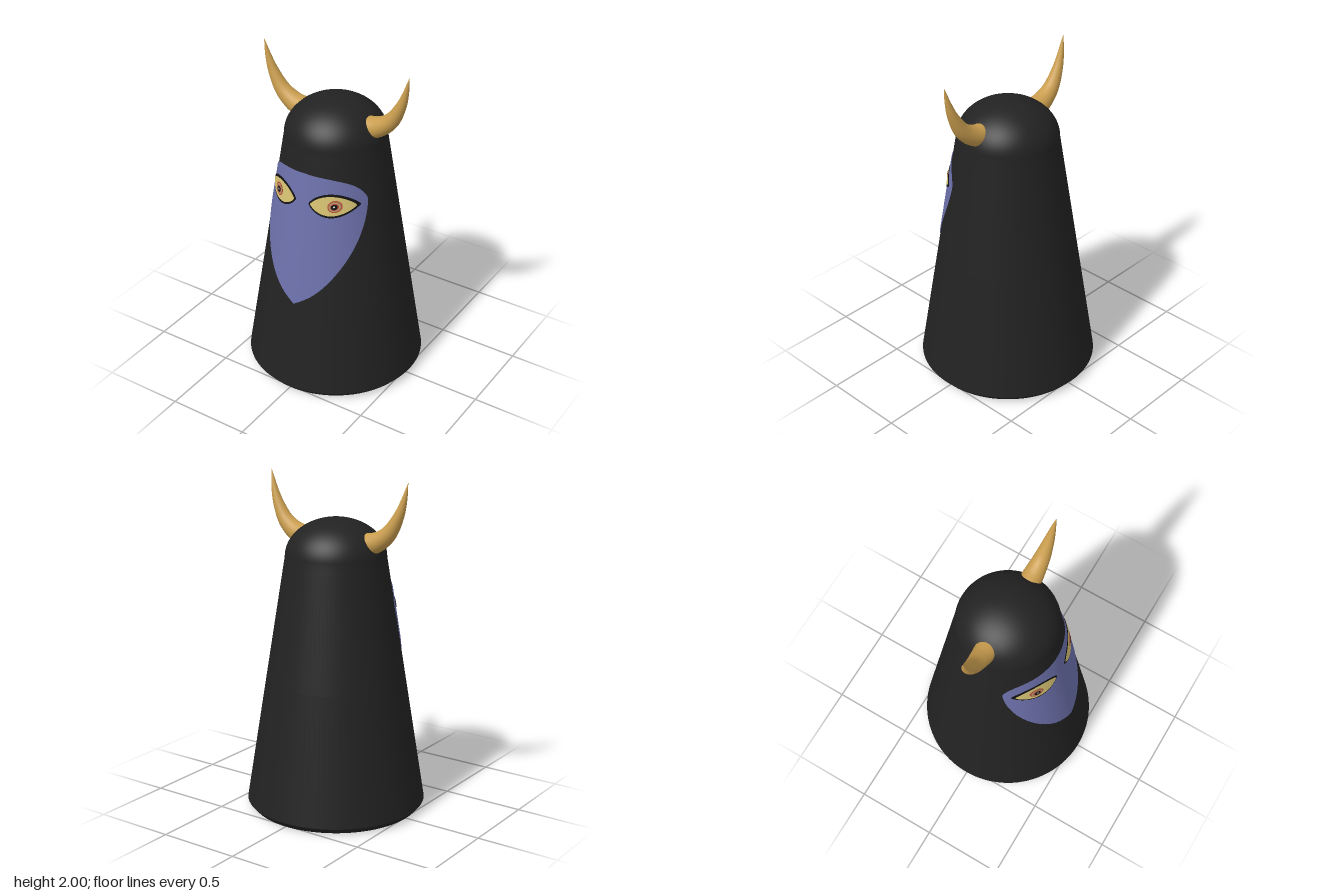
import * as THREE from 'three';
import { mergeVertices } from 'three/addons/utils/BufferGeometryUtils.js';

const mat = (name, color, side = THREE.FrontSide) => {
  const m = new THREE.MeshStandardMaterial({ color, side });
  m.name = name;
  return m;
};

// Radius of the conical robe at height y
const robeRadius = (y) => 0.54 - 0.24 * (y - 0.035) / 1.495;

// Patch wrapped on the robe: rings from a centre out to an outline, lifted off the surface
function wrappedPatch(outline, cx, cy, lift, rings) {
  const pos = [], nor = [], idx = [], n = outline.length;
  const put = (x, y, d) => {
    const r = robeRadius(y) + d, z = Math.sqrt(r * r - x * x);
    pos.push(x, y, z);
    const v = new THREE.Vector3(x / r, 0.16, z / r).normalize();
    nor.push(v.x, v.y, v.z);
  };
  for (let k = 0; k <= rings + 1; k++) {
    const s = Math.min(k / rings, 1);
    // the last ring folds back towards the robe as a thin rim
    const d = k > rings ? lift - 0.004 : lift;
    for (const p of outline) put(cx + (p.x - cx) * s, cy + (p.y - cy) * s, d);
  }
  for (let k = 0; k <= rings; k++) {
    for (let i = 0; i < n; i++) {
      const j = (i + 1) % n, a = k * n + i, b = k * n + j;
      idx.push(a, a + n, b + n, a, b + n, b);
    }
  }
  const g = new THREE.BufferGeometry();
  g.setAttribute('position', new THREE.Float32BufferAttribute(pos, 3));
  g.setAttribute('normal', new THREE.Float32BufferAttribute(nor, 3));
  g.setIndex(idx);
  return g;
}

// Closed counter-clockwise outlines
const disc = (cx, cy, r) => Array.from({ length: 28 }, (_, i) => {
  const a = i / 28 * Math.PI * 2;
  return new THREE.Vector2(cx + r * Math.cos(a), cy + r * Math.sin(a));
});
const almond = (cx, cy, w, h) => Array.from({ length: 48 }, (_, i) => {
  const a = i / 48 * Math.PI * 2, s = Math.sin(a);
  return new THREE.Vector2(cx + w * Math.cos(a), cy + h * Math.sign(s) * Math.pow(Math.abs(s), 1.6));
});

function maskOutline() {
  const half = [[0, 0.59], [0.1, 0.66], [0.18, 0.745], [0.25, 0.86], [0.295, 0.98], [0.315, 1.1],
    [0.316, 1.22], [0.303, 1.29], [0.25, 1.36], [0.15, 1.397], [0, 1.41]];
  const right = new THREE.SplineCurve(half.map(([x, y]) => new THREE.Vector2(x, y))).getPoints(40);
  const left = right.slice(1, -1).reverse().map((p) => new THREE.Vector2(-p.x, p.y));
  return [...right, ...left];
}

// Curved horn: a tube narrowed to a point along its path
function hornGeometry(side) {
  const path = new THREE.CatmullRomCurve3([[0.2, 1.617, 0], [0.29, 1.648, 0], [0.365, 1.705, 0.002],
    [0.427, 1.81, 0.006], [0.458, 1.9, 0.01], [0.48, 2, 0.015]]
    .map(([x, y, z]) => new THREE.Vector3(side * x, y, z)));
  const steps = 32, sides = 24;
  const g = new THREE.TubeGeometry(path, steps, 1, sides);
  const p = g.attributes.position, v = new THREE.Vector3();
  for (let i = 0; i <= steps; i++) {
    const t = i / steps, c = path.getPointAt(t);
    const r = Math.max(0.07 * Math.pow(1 - t, 0.85), 0.0005);
    for (let j = 0; j <= sides; j++) {
      const k = i * (sides + 1) + j;
      v.fromBufferAttribute(p, k).sub(c).multiplyScalar(r).add(c);
      p.setXYZ(k, v.x, v.y, v.z);
    }
  }
  g.deleteAttribute('uv');
  g.deleteAttribute('normal');
  const merged = mergeVertices(g, 1e-5);
  merged.computeVertexNormals();
  return merged;
}

export function createModel() {
  const model = new THREE.Group();
  model.name = 'hornedFigure';
  const robe = mat('robe black', 0x222222);
  const cloth = mat('mask blue', 0x6c70aa, THREE.DoubleSide);
  const horn = mat('horn gold', 0xc99d4e, THREE.DoubleSide);
  const black = mat('eye black', 0x121212);
  const yellow = mat('eye yellow', 0xd6c272);
  const red = mat('iris red', 0xb8503c);
  const tan = mat('iris tan', 0xb59a6c);
  const white = mat('glint white', 0xf0ece0);

  const add = (name, geometry, material, parent = model) => {
    const m = new THREE.Mesh(geometry, material);
    m.name = name;
    parent.add(m);
  };
  const lathe = (pts) => new THREE.LatheGeometry(pts.map(([x, y]) => new THREE.Vector2(x, y)), 96);

  // Robe: flat bottom, bevelled hem, cone and domed head
  const profile = [[0.54, 0.035], [robeRadius(0.8), 0.8], [robeRadius(1.48), 1.48]];
  for (let i = 0; i <= 20; i++) {
    const a = i / 20 * Math.PI / 2;
    profile.push([i === 20 ? 0 : 0.3 * Math.cos(a), 1.53 + 0.23 * Math.sin(a)]);
  }
  add('robeBottom', lathe([[0, 0], [0.51, 0]]), robe);
  add('robeHem', lathe([[0.51, 0], [0.54, 0.035]]), robe);
  add('robeAndHead', lathe(profile), robe);

  // Face mask
  add('mask', wrappedPatch(maskOutline(), 0, 1.1, 0.006, 16), cloth);

  // Horns and eyes on both sides
  for (const side of [1, -1]) {
    const label = side > 0 ? 'left' : 'right';
    add(label + 'Horn', hornGeometry(side), horn);

    const eye = new THREE.Group();
    eye.name = label + 'Eye';
    model.add(eye);
    const ex = side * 0.169, ix = side * 0.19, y = 1.242;
    add('eyeOutline', wrappedPatch(almond(ex, y, 0.126, 0.071), ex, y, 0.009, 10), black, eye);
    add('eyeball', wrappedPatch(almond(ex, y, 0.114, 0.058), ex, y, 0.0115, 10), yellow, eye);
    const rings = [['irisRim', 0.036, red], ['iris', 0.029, tan], ['irisInnerRim', 0.021, red], ['pupil', 0.016, black]];
    rings.forEach(([name, r, material], i) => {
      add(name, wrappedPatch(disc(ix, y, r), ix, y, 0.0135 + i * 0.0015, 3), material, eye);
    });
    add('glint', wrappedPatch(disc(ix, y + 0.002, 0.005), ix, y + 0.002, 0.0195, 1), white, eye);
  }
  return model;
}
